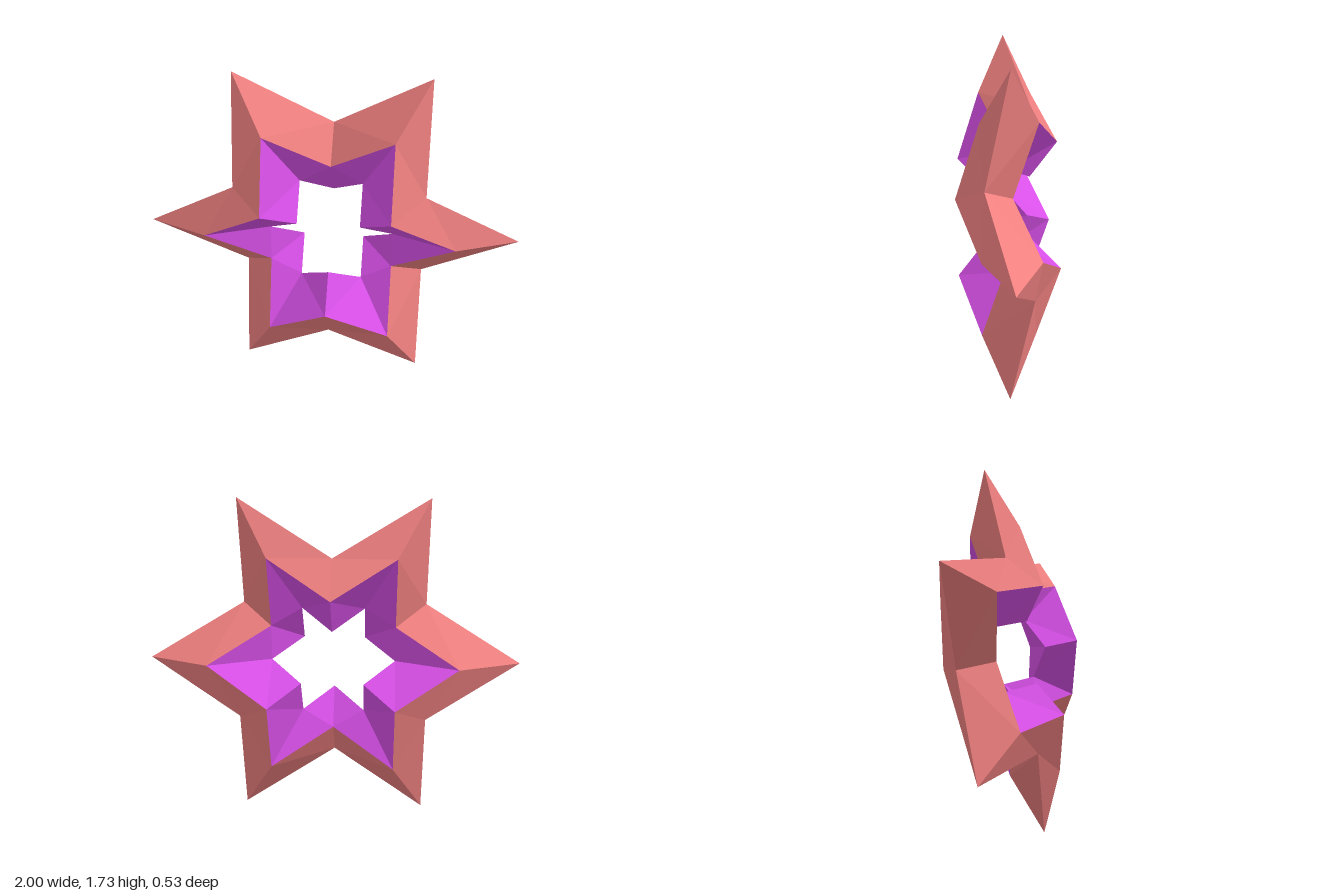
import * as THREE from 'three';

const CENTER_Y = 0.866;   // height of the star's centre
const VALLEY = 0.577;     // radius of a notch relative to a tip
const WAVE = 0.124;       // notches swing alternately forward and back

// The four edge loops of the diamond-section ring: tip radius and depth
const outerLoop = { r: 1, z: 0 };
const frontLoop = { r: 2 / 3, z: 0.143 };
const innerLoop = { r: 1 / 3, z: 0 };
const backLoop = { r: 2 / 3, z: -0.143 };

// Corner i of a loop: even = tip, odd = notch
function corner(loop, i) {
  const a = (i * Math.PI) / 6;
  const tip = i % 2 === 0;
  const r = loop.r * (tip ? 1 : VALLEY);
  const swing = tip ? 0 : (i % 4 === 1 ? WAVE : -WAVE);
  return [r * Math.cos(a), CENTER_Y + r * Math.sin(a), loop.z + swing];
}

// Band of folded facets between two neighbouring loops
function band(name, from, to, color, foldAtNextTip) {
  const positions = [];
  for (let i = 0; i < 12; i++) {
    const a = corner(from, i), b = corner(from, i + 1);
    const c = corner(to, i + 1), d = corner(to, i);
    const tris = foldAtNextTip === (i % 2 === 0)
      ? [a, b, d, b, c, d]
      : [a, b, c, a, c, d];
    positions.push(...tris.flat());
  }
  const geometry = new THREE.BufferGeometry();
  geometry.setAttribute('position', new THREE.Float32BufferAttribute(positions, 3));
  geometry.computeVertexNormals();
  const mesh = new THREE.Mesh(geometry, new THREE.MeshStandardMaterial({ color, flatShading: true }));
  mesh.name = name;
  return mesh;
}

export function createModel() {
  const group = new THREE.Group();
  group.name = 'foldedStarRing';
  const coral = 0xf08080, purple = 0xd850e8;
  group.add(
    band('outerFrontFacets', outerLoop, frontLoop, coral, true),
    band('innerFrontFacets', frontLoop, innerLoop, purple, true),
    band('innerBackFacets', innerLoop, backLoop, purple, false),
    band('outerBackFacets', backLoop, outerLoop, coral, false),
  );
  return group;
}
